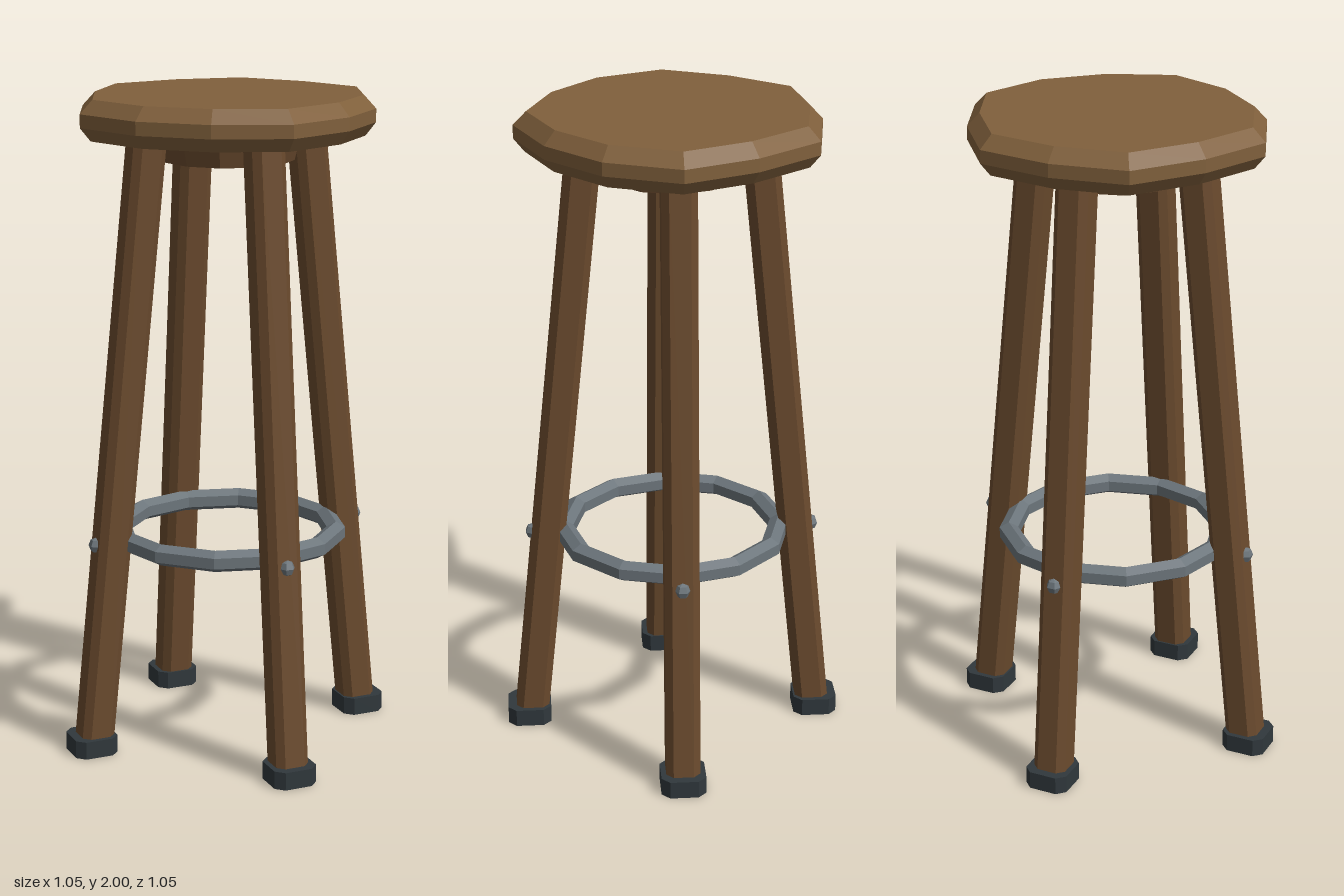
import * as THREE from 'three';

const mat = (color) => new THREE.MeshStandardMaterial({ color, flatShading: true });

// Square with cut corners, extruded upward from y0 to y1
function chamferedPost(half, cut, y0, y1) {
  const a = half, b = half - cut;
  const corners = [[a, -b], [a, b], [b, a], [-b, a], [-a, b], [-a, -b], [-b, -a], [b, -a]];
  const shape = new THREE.Shape(corners.map(([x, y]) => new THREE.Vector2(x, y)));
  const geo = new THREE.ExtrudeGeometry(shape, { depth: y1 - y0, bevelEnabled: false });
  return geo.rotateX(-Math.PI / 2).translate(0, y0, 0);
}

function lathe(profile, sides) {
  return new THREE.LatheGeometry(profile.map(([x, y]) => new THREE.Vector2(x, y)), sides);
}

export function createModel() {
  const model = new THREE.Group();
  const seatWood = mat(0x80603c), legWood = mat(0x6b4b2e);
  const metal = mat(0x6c757b), rubber = mat(0x30383c);
  const add = (parent, name, geo, material) => {
    const mesh = new THREE.Mesh(geo, material);
    mesh.name = name;
    parent.add(mesh);
    return mesh;
  };

  // Seat: bevelled slab with a hand-cut twelve-sided outline
  const half = [[0, 0.46], [0.215, 0.375], [0.38, 0.22], [0.465, 0], [0.375, -0.215], [0.23, -0.405], [0, -0.44]];
  const outline = [...half, ...half.slice(1, 6).reverse().map(([x, z]) => [-x, z])];
  const profile = [[0, 1.88], [0.93, 1.88], [1, 1.92], [1, 1.96], [0.915, 2], [0, 2]];
  const seat = lathe(profile, 12);
  const pos = seat.attributes.position;
  for (let i = 0; i < pos.count; i++) {
    const [x, z] = outline[Math.floor(i / profile.length) % 12];
    const s = profile[i % profile.length][0];
    pos.setX(i, x * s);
    pos.setZ(i, z * s);
  }
  seat.computeVertexNormals();
  add(model, 'seat', seat, seatWood);

  // Round block under the seat
  add(model, 'seatBlock', new THREE.CylinderGeometry(0.22, 0.2, 0.08, 12).translate(0, 1.845, 0), legWood);

  // Foot ring with a six-sided section
  const section = [];
  for (let i = 0; i <= 6; i++) {
    const a = -Math.PI / 2 + (i * Math.PI) / 3;
    section.push([0.335 + 0.033 * Math.cos(a), 0.658 + 0.033 * Math.sin(a)]);
  }
  add(model, 'footRing', lathe(section, 12), metal);

  // Four splayed legs, each with a foot cap and a bolt
  const legCentre = (y) => 0.452 - 0.103 * y;
  for (let i = 0; i < 4; i++) {
    const leg = new THREE.Group();
    leg.name = ['frontLeg', 'leftLeg', 'backLeg', 'rightLeg'][i];
    leg.rotation.y = (i * Math.PI) / 2;

    const post = chamferedPost(0.052, 0.021, 0.03, 1.89);
    const p = post.attributes.position;
    for (let k = 0; k < p.count; k++) p.setZ(k, p.getZ(k) + legCentre(p.getY(k)));
    post.computeVertexNormals();
    add(leg, 'legPost', post, legWood);

    add(leg, 'footCap', chamferedPost(0.068, 0.025, 0, 0.055).translate(0, 0, 0.457), rubber);
    add(leg, 'bolt', new THREE.SphereGeometry(0.025, 6, 4).translate(0, 0.658, 0.432), metal);
    model.add(leg);
  }
  return model;
}
